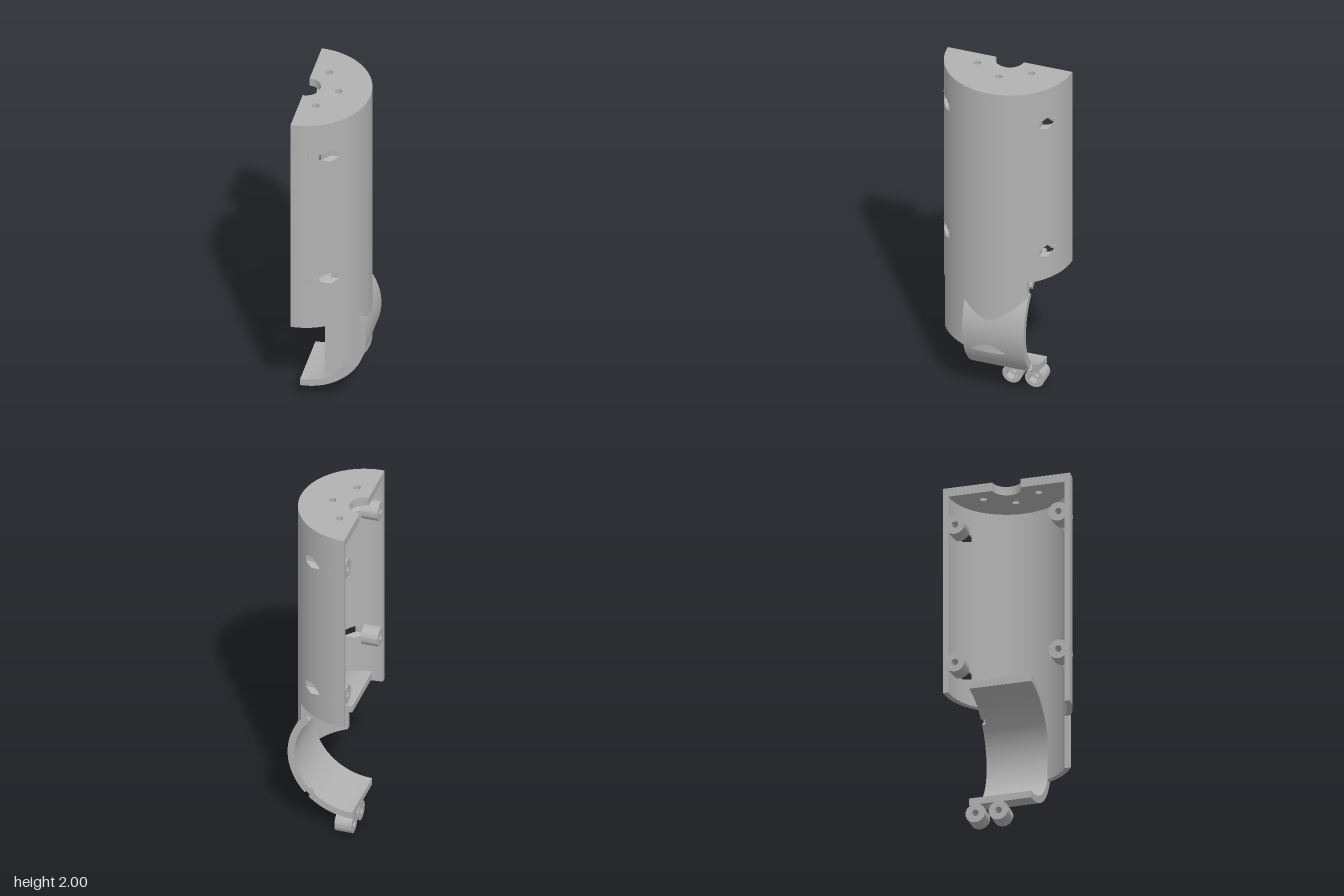
import * as THREE from 'three';
import { toCreasedNormals } from 'three/addons/utils/BufferGeometryUtils.js';

const R = 0.356, RI = 0.326;             // upright shell radii
const RING_Y = 0.47, RO = 0.365, RIN = 0.325; // cross ring centre and radii
const RING_Z0 = -0.21, RING_Z1 = 0.14;
const HOLE_Y = [0.965, 1.78], HOLE_Z = 0.29, HEX = 0.037, HEX_W = 0.032;

const off = (r, z) => Math.sqrt(Math.max(0, r * r - z * z));

// Half-cylinder wall made of narrow upright columns, each with vertical spans
function shellGeometry() {
  const pos = [], nor = [];
  const quad = (pts, dir, normals) => {
    const v = pts.map(p => new THREE.Vector3(...p));
    const n = v[2].clone().sub(v[0]).cross(v[3].clone().sub(v[1])).normalize();
    const order = n.dot(dir) < 0 ? [0, 2, 1, 0, 3, 2] : [0, 1, 2, 0, 2, 3];
    if (n.dot(dir) < 0) n.negate();
    for (const i of order) {
      pos.push(...pts[i]);
      nor.push(...(normals ? normals[i] : n.toArray()));
    }
  };
  const X = new THREE.Vector3(1, 0, 0), Y = new THREE.Vector3(0, 1, 0), Z = new THREE.Vector3(0, 0, 1);

  // lo and hi are functions (z, offset) giving the span ends; min trims the inner face
  const span = (z0, z1, lo, hi, min = 0) => {
    const p = (z, inner, f) => {
      const o = inner ? Math.min(off(R, z), Math.max(min, off(RI, z))) : off(R, z);
      return [o, f(z, o), z];
    };
    const [a0, a1, b0, b1] = [p(z0, 0, lo), p(z1, 0, lo), p(z0, 0, hi), p(z1, 0, hi)];
    const [c0, c1, d0, d1] = [p(z0, 1, lo), p(z1, 1, lo), p(z0, 1, hi), p(z1, 1, hi)];
    const n = (z, r, s) => [s * off(r, z) / r, 0, s * z / r];
    const no0 = n(z0, R, 1), no1 = n(z1, R, 1);
    quad([a0, a1, b1, b0], new THREE.Vector3(...no0).add(new THREE.Vector3(...no1)), [no0, no1, no1, no0]);
    const smooth = min === 0 && Math.max(Math.abs(z0), Math.abs(z1)) <= RI;
    const ni0 = n(z0, RI, -1), ni1 = n(z1, RI, -1);
    quad([c0, c1, d1, d0], X.clone().negate(), smooth ? [ni0, ni1, ni1, ni0] : null);
    quad([b0, b1, d1, d0], Y);
    quad([a0, a1, c1, c0], Y.clone().negate());
    quad([a0, b0, d0, c0], Z.clone().negate());
    quad([a1, b1, d1, c1], Z);
  };

  // column edges: even angles plus the edges of holes and cut-outs
  const cuts = [-0.205, RING_Z1, 0.272, 0.307, 0.1, -0.1, RI, -RI];
  for (const s of [-1, 1]) for (const d of [-HEX_W, 0, HEX_W]) cuts.push(s * HOLE_Z + d);
  for (let i = 0; i <= 48; i++) {
    const z = R * Math.sin((i / 48 - 0.5) * Math.PI);
    if (!cuts.some(c => Math.abs(c - z) < 0.002)) cuts.push(z);
  }
  cuts.sort((a, b) => a - b);

  const flat = y => () => y;
  const overRing = (z, o) => RING_Y + Math.sqrt(Math.max(0, 0.35 ** 2 - o * o));
  for (let i = 0; i + 1 < cuts.length; i++) {
    const z0 = cuts[i], z1 = cuts[i + 1], m = (z0 + z1) / 2;
    let lo = m < -0.205 ? flat(0.79) : m < RING_Z1 ? overRing : flat(0.65);
    // hexagonal openings
    if (Math.abs(Math.abs(m) - HOLE_Z) < HEX_W) {
      const h = z => HEX * (1 - 0.5 * Math.abs(Math.abs(z) - HOLE_Z) / HEX_W);
      for (const y of HOLE_Y) {
        span(z0, z1, lo, z => y - h(z));
        lo = z => y + h(z);
      }
    }
    span(z0, z1, lo, flat(1.95));
    // lower tongue beside the ring, and the sliver that shows through it
    if (m > RING_Z1 && m < 0.307) span(z0, z1, flat(0.34), flat(0.65), 0.18);
    if (Math.abs(m) < 0.1) span(z0, z1, flat(0.34), flat(0.62), 0.335);
  }
  const g = new THREE.BufferGeometry();
  g.setAttribute('position', new THREE.Float32BufferAttribute(pos, 3));
  g.setAttribute('normal', new THREE.Float32BufferAttribute(nor, 3));
  return g;
}

const extrude = (shape, depth, curveSegments = 24) =>
  new THREE.ExtrudeGeometry(shape, { depth, bevelEnabled: false, curveSegments });

const circle = (x, y, r) => new THREE.Path().absarc(x, y, r, 0, Math.PI * 2, true);

export function createModel() {
  const group = new THREE.Group();
  const grey = new THREE.MeshStandardMaterial({ color: 0xb2b2b2 });
  grey.name = 'plain grey';
  const body = new THREE.Group();
  body.name = 'body';
  body.position.x = -0.185;
  group.add(body);
  const add = (name, geometry, x = 0, y = 0, z = 0) => {
    const mesh = new THREE.Mesh(geometry, grey);
    mesh.name = name;
    mesh.position.set(x, y, z);
    body.add(mesh);
    return mesh;
  };

  add('shell', shellGeometry());

  // Half-round top plate with cable notch and three holes
  const plate = new THREE.Shape();
  plate.absarc(0, 0, R, -Math.PI / 2, Math.PI / 2, false);
  plate.absarc(0, 0, 0.079, Math.PI / 2, -Math.PI / 2, true);
  for (const [x, z] of [[0.09, -0.155], [0.179, 0], [0.09, 0.155]]) plate.holes.push(circle(x, z, 0.02));
  const plateGeometry = extrude(plate, 0.05, 48);
  plateGeometry.rotateX(-Math.PI / 2);
  add('topPlate', toCreasedNormals(plateGeometry, 0.5), 0, 1.95, 0);

  // Half ring across the foot, with two small notches in its back rim
  const arc = (a, b, depth) => {
    const s = new THREE.Shape();
    s.absarc(0, 0, RO, a, b, false);
    s.absarc(0, 0, RIN, b, a, true);
    return toCreasedNormals(extrude(s, depth, 48), 0.5);
  };
  const q = Math.PI / 4, w = 0.043, rim = 0.02;
  add('crossRing', arc(-2 * q, 2 * q, RING_Z1 - RING_Z0 - rim), 0, RING_Y, RING_Z0 + rim);
  for (const [a, b] of [[-2 * q, -q - w], [-q + w, q - w], [q + w, 2 * q]]) {
    add('ringRim', arc(a, b, rim), 0, RING_Y, RING_Z0);
  }

  // Screw bosses: round bore at the open side, hexagonal nut pocket behind it
  const bossPart = (hole, depth) => {
    const s = new THREE.Shape();
    s.absarc(0, 0, 0.055, 0, Math.PI * 2, false);
    s.holes.push(hole);
    const g = extrude(s, depth);
    g.rotateY(Math.PI / 2);
    return toCreasedNormals(g, 0.5);
  };
  const hex = new THREE.Path();
  for (let i = 0; i < 6; i++) {
    const a = Math.PI / 2 - i * Math.PI / 3;
    hex[i ? 'lineTo' : 'moveTo'](HEX * Math.cos(a), HEX * Math.sin(a));
  }
  hex.closePath();
  const bore = bossPart(circle(0, 0, 0.019), 0.05);
  const pocket = bossPart(hex, 0.045);
  const places = [[0.055, -0.045], [0.055, -0.175]];
  for (const y of HOLE_Y) places.push([y, HOLE_Z], [y, -HOLE_Z]);
  for (const [y, z] of places) {
    add('screwBoss', bore, 0, y, z);
    add('nutPocket', pocket, 0.05, y, z);
  }
  return group;
}
